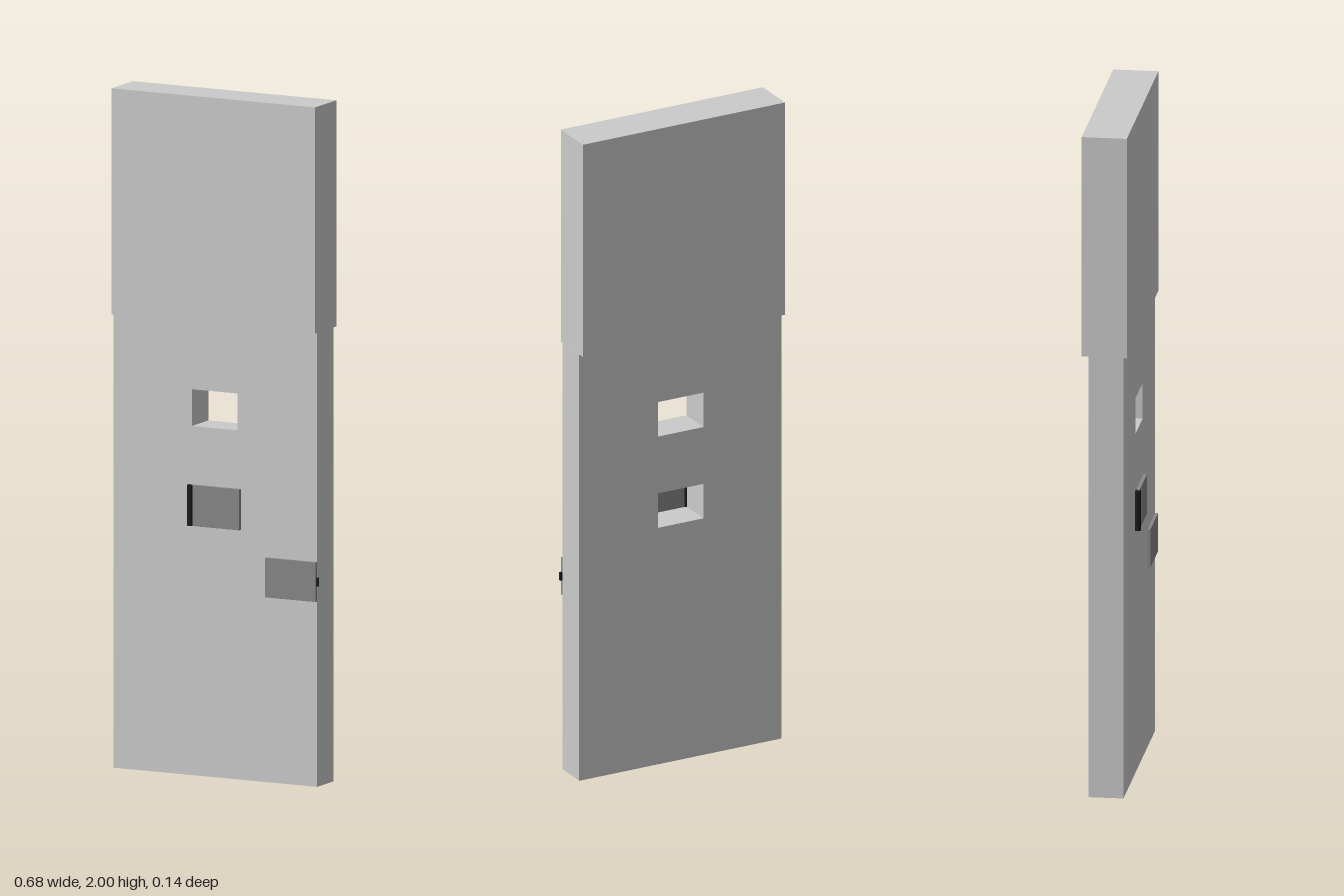
import * as THREE from 'three';

const material = (color) => new THREE.MeshStandardMaterial({ color, flatShading: true });

// Closed rectangle as a list of points
const rect = (x0, x1, y0, y1) => [[x0, y0], [x1, y0], [x1, y1], [x0, y1]].map(([x, y]) => new THREE.Vector2(x, y));

export function createModel() {
  const model = new THREE.Group();
  const grey = material(0xcccccc);
  const darkGrey = material(0x888888);
  const black = material(0x1a1a1a);

  const add = (name, geometry, mat) => {
    const mesh = new THREE.Mesh(geometry, mat);
    mesh.name = name;
    model.add(mesh);
    return mesh;
  };
  const addBox = (name, mat, [x0, x1], [y0, y1], [z0, z1]) => {
    const mesh = add(name, new THREE.BoxGeometry(x1 - x0, y1 - y0, z1 - z0), mat);
    mesh.position.set((x0 + x1) / 2, (y0 + y1) / 2, (z0 + z1) / 2);
    return mesh;
  };

  // Lower panel with two rectangular openings cut right through
  const panel = new THREE.Shape(rect(-0.337, 0.33, 0, 1.335));
  for (const [y0, y1] of [[1.027, 1.135], [0.741, 0.849]]) {
    panel.holes.push(new THREE.Path(rect(-0.08, 0.07, y0, y1).reverse()));
  }
  const panelGeometry = new THREE.ExtrudeGeometry(panel, { depth: 0.102, bevelEnabled: false });
  panelGeometry.translate(0, 0, -0.05);
  add('lowerPanel', panelGeometry, grey);

  // Thicker upper block
  addBox('upperBlock', grey, [-0.338, 0.329], [1.335, 2], [-0.07, 0.062]);

  // Flap over the lower opening, with its hinge along one side
  addBox('openingFlap', darkGrey, [-0.08, 0.081], [0.735, 0.855], [0.052, 0.063]);
  const hinge = add('flapHinge', new THREE.CylinderGeometry(0.01, 0.01, 0.12, 20), black);
  hinge.position.set(-0.081, 0.795, 0.058);

  // Side plate with a small pin at the panel edge
  addBox('sidePlate', darkGrey, [0.165, 0.33], [0.545, 0.661], [0.052, 0.061]);
  addBox('sidePin', black, [0.325, 0.337], [0.591, 0.616], [0.052, 0.059]);

  return model;
}
